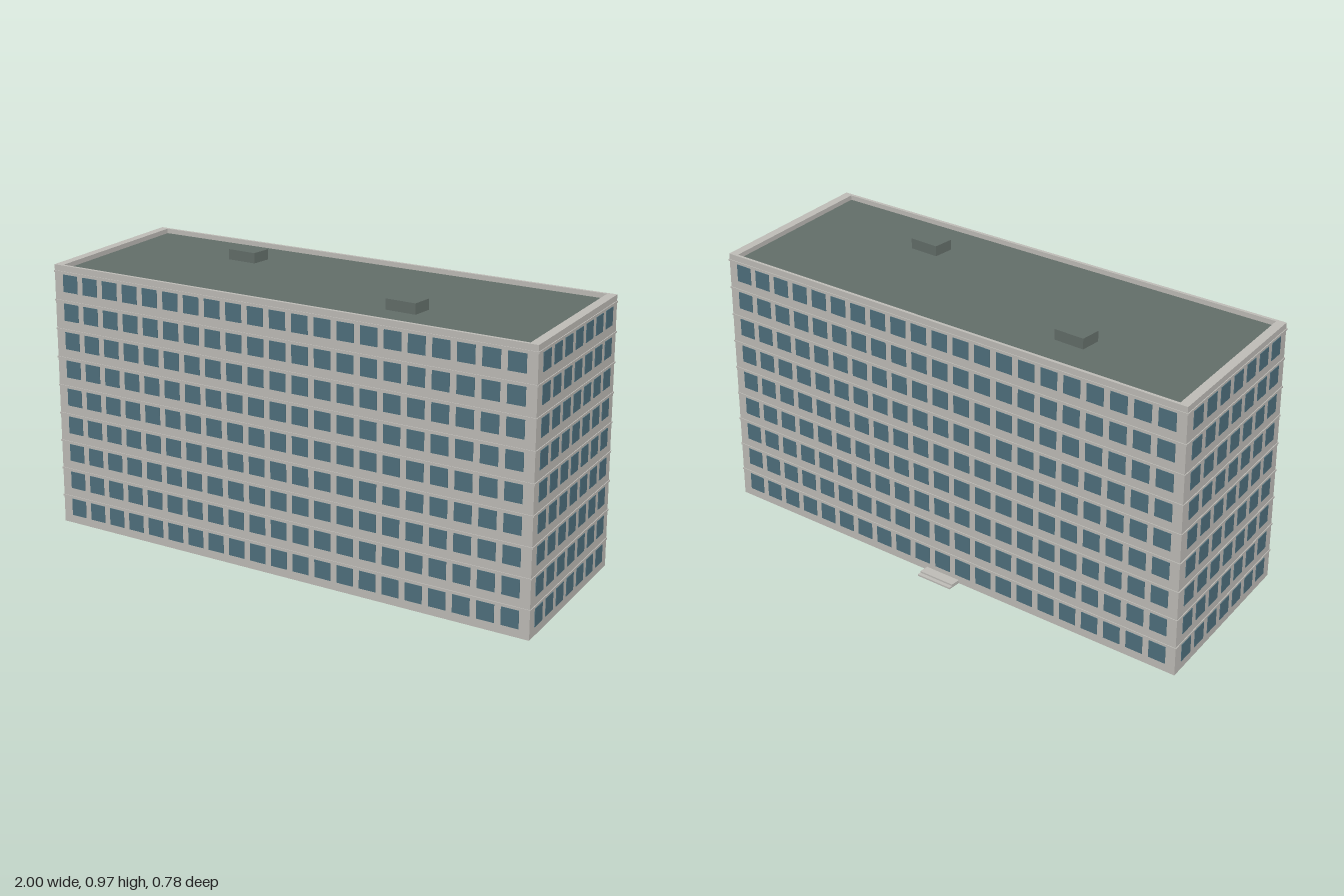
import * as THREE from 'three';
import { mergeGeometries } from 'three/addons/utils/BufferGeometryUtils.js';

const mat = (name, color) => {
  const m = new THREE.MeshStandardMaterial({ color });
  m.name = name;
  return m;
};

// Footprint corners (x, z): front left, front right, back right, back left seen from the front
const CORNERS = [[-0.897, 0.386], [0.997, 0.326], [0.895, -0.365], [-0.997, -0.307]];
const FLOORS = 9, FLOOR_H = 0.1033, ROOF_Y = 0.933, TOP_Y = 0.95;

const outline = (scale, Type = THREE.Shape) =>
  new Type(CORNERS.map(([x, z]) => new THREE.Vector2(x * scale, -z * scale)));

// Vertical prism from a footprint shape
function prism(shape, y0, y1) {
  const g = new THREE.ExtrudeGeometry(shape, { depth: y1 - y0, bevelEnabled: false });
  return g.rotateX(-Math.PI / 2).translate(0, y0, 0);
}

const box = (w, h, d, x, y, z) => new THREE.BoxGeometry(w, h, d).translate(x, y, z);

export function createModel() {
  const concrete = mat('concrete', 0xbdbbb6);
  const glass = mat('glass', 0x4e6f7c);
  const roofing = mat('roofing', 0x626d68);

  const model = new THREE.Group();
  model.name = 'apartmentBlock';
  const add = (parent, name, geometry, material) => {
    const mesh = new THREE.Mesh(geometry, material);
    mesh.name = name;
    parent.add(mesh);
  };

  // Body, sunken roof and parapet
  add(model, 'body', prism(outline(1), 0, ROOF_Y - 0.003), concrete);
  add(model, 'roof', prism(outline(0.965), ROOF_Y - 0.003, ROOF_Y), roofing);
  const ring = outline(1);
  ring.holes.push(outline(0.965, THREE.Path));
  add(model, 'parapet', prism(ring, ROOF_Y - 0.003, TOP_Y), concrete);

  // Rooftop vents
  for (const [x, z] of [[-0.442, -0.125], [0.413, 0.147]]) {
    add(model, 'roofVent', box(0.114, 0.97 - ROOF_Y, 0.078, x, (0.97 + ROOF_Y) / 2, z), roofing);
  }

  // Four facades, each in its own frame: x along the wall, z outward
  ['front', 'right', 'back', 'left'].forEach((side, i) => {
    const [x0, z0] = CORNERS[i], [x1, z1] = CORNERS[(i + 1) % 4];
    const length = Math.hypot(x1 - x0, z1 - z0);
    const facade = new THREE.Group();
    facade.name = side + 'Facade';
    facade.position.set((x0 + x1) / 2, 0, (z0 + z1) / 2);
    facade.rotation.y = Math.atan2(z0 - z1, x1 - x0);
    model.add(facade);

    const isLong = i % 2 === 0;
    const columns = isLong ? 21 : 7;
    const pitch = isLong ? 0.0878 : 0.0922;
    const windows = [], ledges = [];
    for (let f = 0; f < FLOORS; f++) {
      const y = 0.061 + f * FLOOR_H;
      for (let c = 0; c < columns; c++) {
        windows.push(box(0.0635, 0.062, 0.004, (c - (columns - 1) / 2) * pitch, y, 0));
      }
      // Thin ledge above each row of windows
      ledges.push(box(length + 0.004, 0.006, 0.006, 0, y + 0.039, 0));
    }
    add(facade, side + 'Windows', mergeGeometries(windows), glass);
    add(facade, side + 'Ledges', mergeGeometries(ledges), concrete);

    // Entrance steps in the middle of the back wall
    if (side === 'back') {
      add(facade, 'lowerStep', box(0.14, 0.006, 0.05, 0, 0.003, 0.025), concrete);
      add(facade, 'upperStep', box(0.14, 0.006, 0.036, 0, 0.009, 0.018), concrete);
    }
  });
  return model;
}
